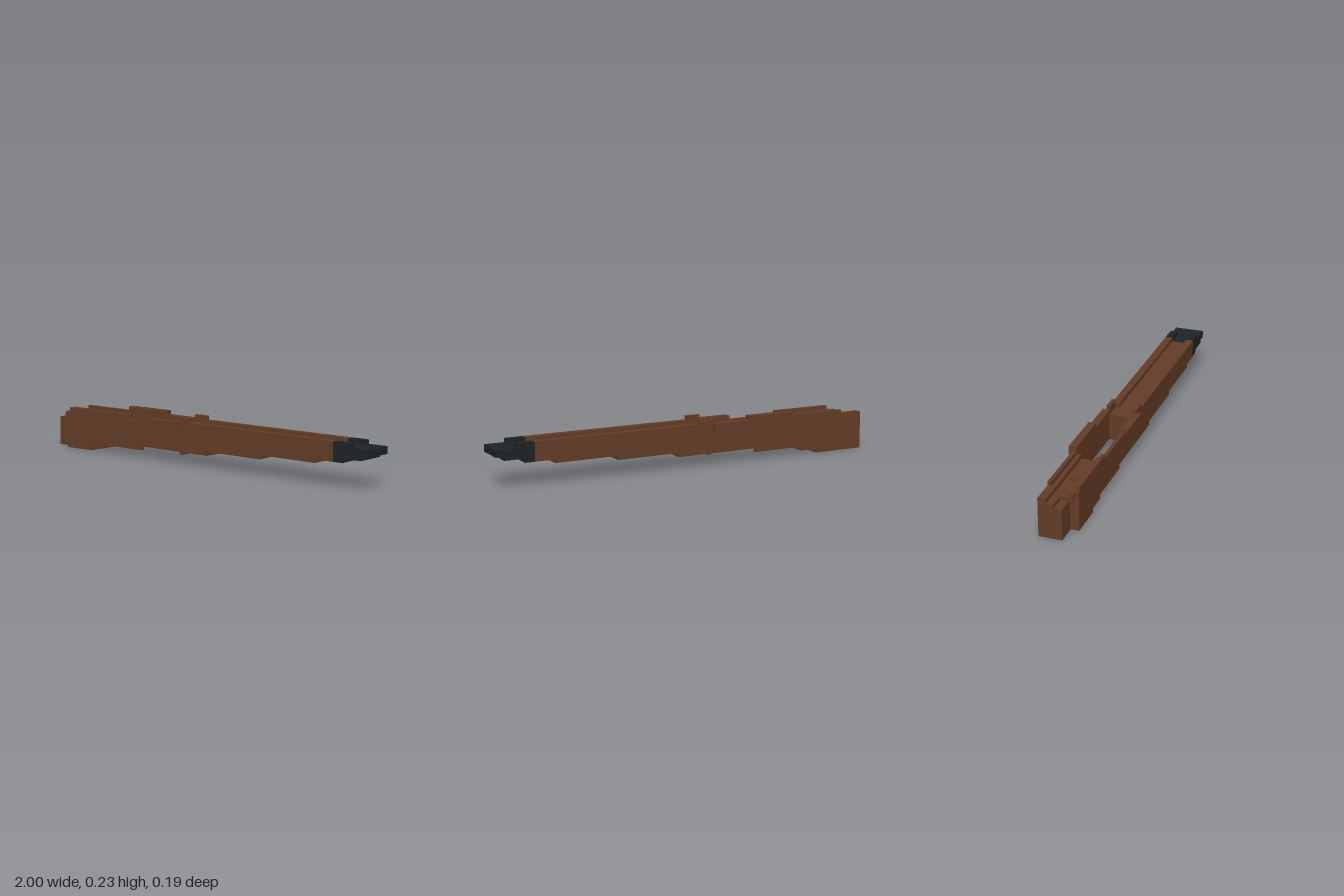
import * as THREE from 'three';

const wood = new THREE.MeshStandardMaterial({ color: 0x643c26, flatShading: true });
const black = new THREE.MeshStandardMaterial({ color: 0x1f2324, flatShading: true });

// Stepped underside: [end x, bottom y], running from the butt to the tip
const STEPS = [[-0.73, 0], [-0.64, 0.02], [-0.37, 0.04], [0.065, 0.06], [0.39, 0.08],
  [0.71, 0.1], [0.86, 0.117], [0.96, 0.137], [1, 0.155]];

export function createModel() {
  const model = new THREE.Group();

  function box(name, [x0, x1], [y0, y1], [z0, z1], material = wood) {
    const mesh = new THREE.Mesh(new THREE.BoxGeometry(x1 - x0, y1 - y0, z1 - z0), material);
    mesh.position.set((x0 + x1) / 2, (y0 + y1) / 2, (z0 + z1) / 2);
    mesh.name = name;
    model.add(mesh);
  }

  // Side profile with the stepped underside, extruded across z
  function slab(name, [x0, x1], top, [z0, z1], material = wood) {
    const shape = new THREE.Shape();
    shape.moveTo(x0, top);
    let start = -1;
    for (const [end, y] of STEPS) {
      const a = Math.max(start, x0), b = Math.min(end, x1);
      if (b > a) {
        shape.lineTo(a, y);
        shape.lineTo(b, y);
      }
      start = end;
    }
    shape.lineTo(x1, top);
    const geometry = new THREE.ExtrudeGeometry(shape, { depth: z1 - z0, bevelEnabled: false });
    const mesh = new THREE.Mesh(geometry, material);
    mesh.position.z = z0;
    mesh.name = name;
    model.add(mesh);
  }

  // Side walls and solid fore-end
  slab('rightWall', [-1, 0.81], 0.19, [-0.076, -0.058]);
  slab('leftWall', [-0.9, 0.81], 0.19, [0.057, 0.076]);
  slab('foreEndCore', [-0.14, 0.81], 0.19, [-0.058, 0.057]);

  // Butt core with a shallow top channel and a small square through hole
  slab('buttRightShoulder', [-1, -0.565], 0.19, [-0.058, -0.037]);
  slab('buttLeftShoulder', [-0.9, -0.565], 0.19, [0.035, 0.057]);
  slab('channelFloorRight', [-1, -0.565], 0.17, [-0.037, -0.018]);
  slab('channelFloorFront', [-0.755, -0.565], 0.17, [-0.018, 0.018]);
  slab('channelFloorRear', [-0.92, -0.775], 0.17, [-0.018, 0.018]);
  slab('channelFloorLeft', [-0.92, -0.565], 0.17, [0.018, 0.035]);
  slab('buttEndHigh', [-1, -0.92], 0.17, [-0.018, -0.003]);
  slab('buttEndLow', [-1, -0.92], 0.15, [-0.003, 0.035]);
  box('buttCornerTab', [-0.92, -0.9], [0.15, 0.19], [0.035, 0.057]);

  // Top rails; the left one is cut away beside the opening
  box('rightRearRail', [-0.88, -0.58], [0.19, 0.21], [-0.076, -0.058]);
  box('leftRearRail', [-0.88, -0.565], [0.19, 0.21], [0.057, 0.076]);
  for (const side of [-1, 1]) {
    const across = (a, b) => (side > 0 ? [a, b] : [-b, -a]);
    box('foreRail', [-0.05, 0.81], [0.19, 0.21], across(0.039, 0.076));
    box('railBump', [-0.125, -0.05], [0.19, 0.23], across(0.057, 0.076));
    box('tipRail', [0.81, 0.9], [0.19, 0.21], across(0.039, 0.076), black);
  }

  // Overhanging ledges beside the opening
  box('rightTallLedge', [-0.58, -0.32], [0.19, 0.23], [-0.095, -0.057]);
  box('rightLowLedge', [-0.32, -0.125], [0.19, 0.21], [-0.095, -0.057]);
  box('rightLedgeTab', [-0.16, -0.125], [0.172, 0.19], [-0.095, -0.076]);
  box('leftLedge', [-0.295, -0.11], [0.19, 0.21], [0.057, 0.095]);

  // Small peg under the front edge of the opening
  box('undersidePeg', [-0.145, -0.125], [0.039, 0.065], [-0.018, 0.039]);

  // Dark stepped tip
  slab('tip', [0.81, 1], 0.19, [-0.076, 0.076], black);

  return model;
}
